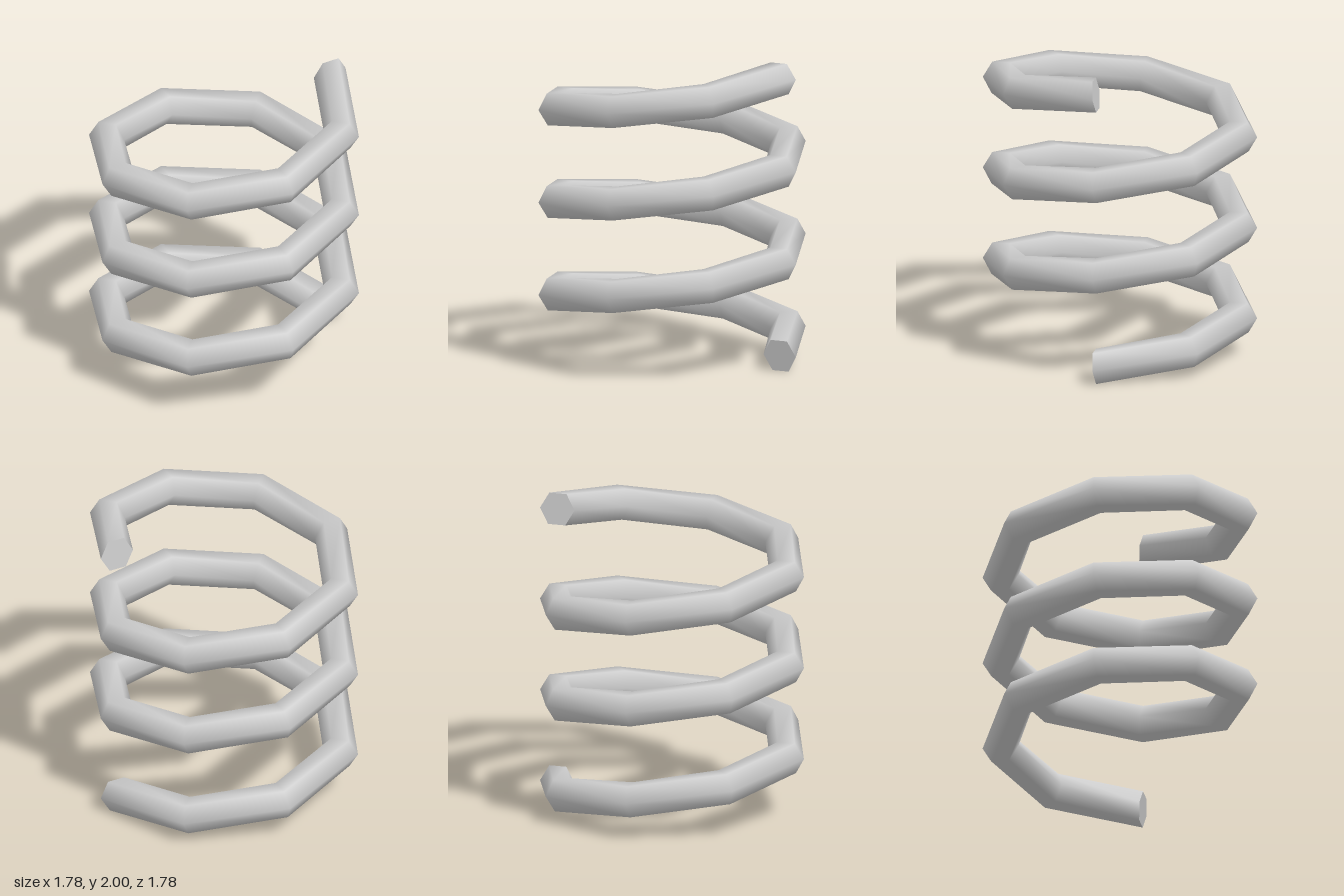
import * as THREE from 'three';

const TURNS = 3, STEPS = 8, SIDES = 6;
const COIL_RADIUS = 0.775, WIRE_RADIUS = 0.1163, PITCH = 0.6, BASE = 0.1;

// Centre and axes of the wire's cross-section at a given step along the helix
function sectionAt(step) {
  const a = (step / STEPS) * Math.PI * 2;
  const out = new THREE.Vector3(Math.cos(a), 0, -Math.sin(a));
  const center = out.clone().multiplyScalar(COIL_RADIUS).setY(BASE + (PITCH * step) / STEPS);
  const back = new THREE.Vector3(
    Math.sin(a) * COIL_RADIUS, -PITCH / (Math.PI * 2), Math.cos(a) * COIL_RADIUS
  ).normalize();
  const up = back.clone().cross(out);
  return { center, out, up, back };
}

// Six-sided wire swept along the helix
function coilGeometry() {
  const positions = [], index = [], last = TURNS * STEPS;
  for (let i = 0; i <= last; i++) {
    const { center, out, up } = sectionAt(i);
    for (let j = 0; j < SIDES; j++) {
      const b = (j / SIDES) * Math.PI * 2;
      const p = center.clone()
        .addScaledVector(out, WIRE_RADIUS * Math.cos(b))
        .addScaledVector(up, WIRE_RADIUS * Math.sin(b));
      positions.push(p.x, p.y, p.z);
      if (i < last) {
        const k = (j + 1) % SIDES, r = i * SIDES, n = r + SIDES;
        index.push(r + j, n + j, r + k, r + k, n + j, n + k);
      }
    }
  }
  const geometry = new THREE.BufferGeometry();
  geometry.setAttribute('position', new THREE.Float32BufferAttribute(positions, 3));
  geometry.setIndex(index);
  geometry.computeVertexNormals();
  return geometry;
}

// Flat hexagon closing one end of the wire
function capGeometry(step, isEnd) {
  const { center, out, up, back } = sectionAt(step);
  if (isEnd) {
    up.negate();
    back.negate();
  }
  const matrix = new THREE.Matrix4().makeBasis(out, up, back).setPosition(center);
  return new THREE.CircleGeometry(WIRE_RADIUS, SIDES).applyMatrix4(matrix);
}

export function createModel() {
  const group = new THREE.Group();
  group.name = 'coilSpring';
  const material = new THREE.MeshStandardMaterial({ color: 0xcccccc });
  const add = (name, geometry) => {
    const mesh = new THREE.Mesh(geometry, material);
    mesh.name = name;
    group.add(mesh);
  };
  add('coil', coilGeometry());
  add('bottomEndCap', capGeometry(0, false));
  add('topEndCap', capGeometry(TURNS * STEPS, true));
  return group;
}
